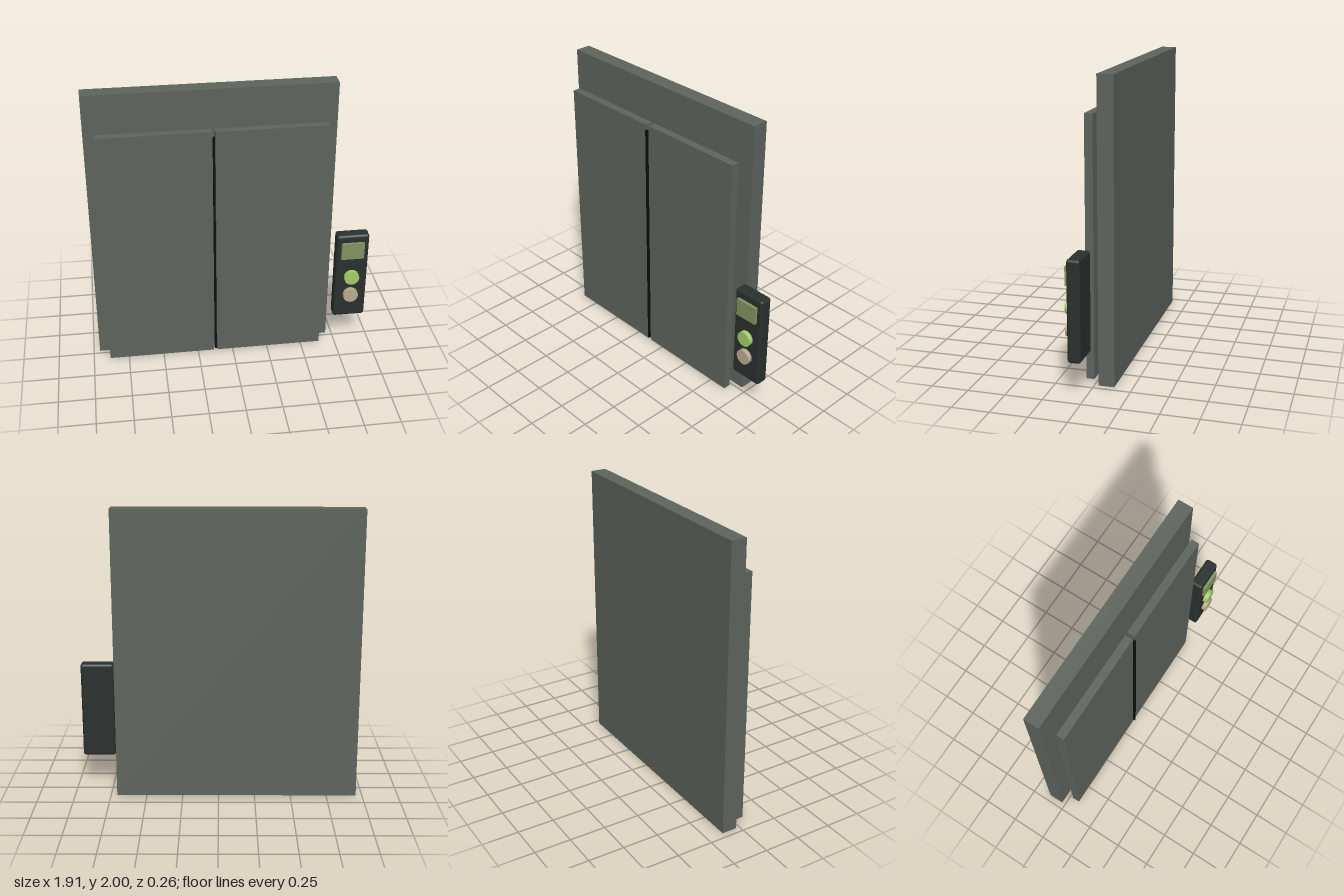
import * as THREE from 'three';
import { RoundedBoxGeometry } from 'three/addons/geometries/RoundedBoxGeometry.js';

export function createModel() {
  const group = new THREE.Group();
  group.name = 'slidingDoorWithControlPanel';

  const paint = (color) => new THREE.MeshStandardMaterial({ color });
  const steel = paint(0x5d635d);
  const seamBlack = paint(0x0b0f0d);
  const casing = paint(0x29302d);

  const add = (name, geometry, material, x, y, z) => {
    const mesh = new THREE.Mesh(geometry, material);
    mesh.name = name;
    mesh.position.set(x, y, z);
    group.add(mesh);
    return mesh;
  };
  // Box given by its extents on each axis
  const box = (name, material, [x0, x1], [y0, y1], [z0, z1]) =>
    add(name, new THREE.BoxGeometry(x1 - x0, y1 - y0, z1 - z0), material,
      (x0 + x1) / 2, (y0 + y1) / 2, (z0 + z1) / 2);

  // Wall slab behind the doors
  const doorX = -0.125;
  box('wallPanel', steel, [doorX - 0.832, doorX + 0.832], [0, 2], [-0.132, -0.026]);

  // Two mirrored door leaves and the dark seam between them
  for (const side of [-1, 1]) {
    const edges = [doorX + side * 0.012, doorX + side * 0.76].sort((a, b) => a - b);
    box(side > 0 ? 'leftDoor' : 'rightDoor', steel, edges, [0.007, 1.748], [0.023, 0.077]);
  }
  box('doorSeam', seamBlack, [doorX - 0.007, doorX + 0.007], [0.03, 1.715], [0.075, 0.09]);

  // Control panel with rounded casing, screen and two round buttons
  const panelX = 0.838;
  add('controlCasing', new RoundedBoxGeometry(0.228, 0.67, 0.088, 2, 0.018), casing,
    panelX, 0.575, 0.057);
  box('screen', paint(0x80935f), [0.756, 0.916], [0.73, 0.855], [0.095, 0.121]);
  const buttonShape = new THREE.CylinderGeometry(0.053, 0.053, 0.037, 16).rotateX(Math.PI / 2);
  add('upperButton', buttonShape, paint(0xa2cd68), panelX, 0.577, 0.1135);
  add('lowerButton', buttonShape, paint(0xb9aa8e), panelX, 0.429, 0.1135);

  return group;
}
